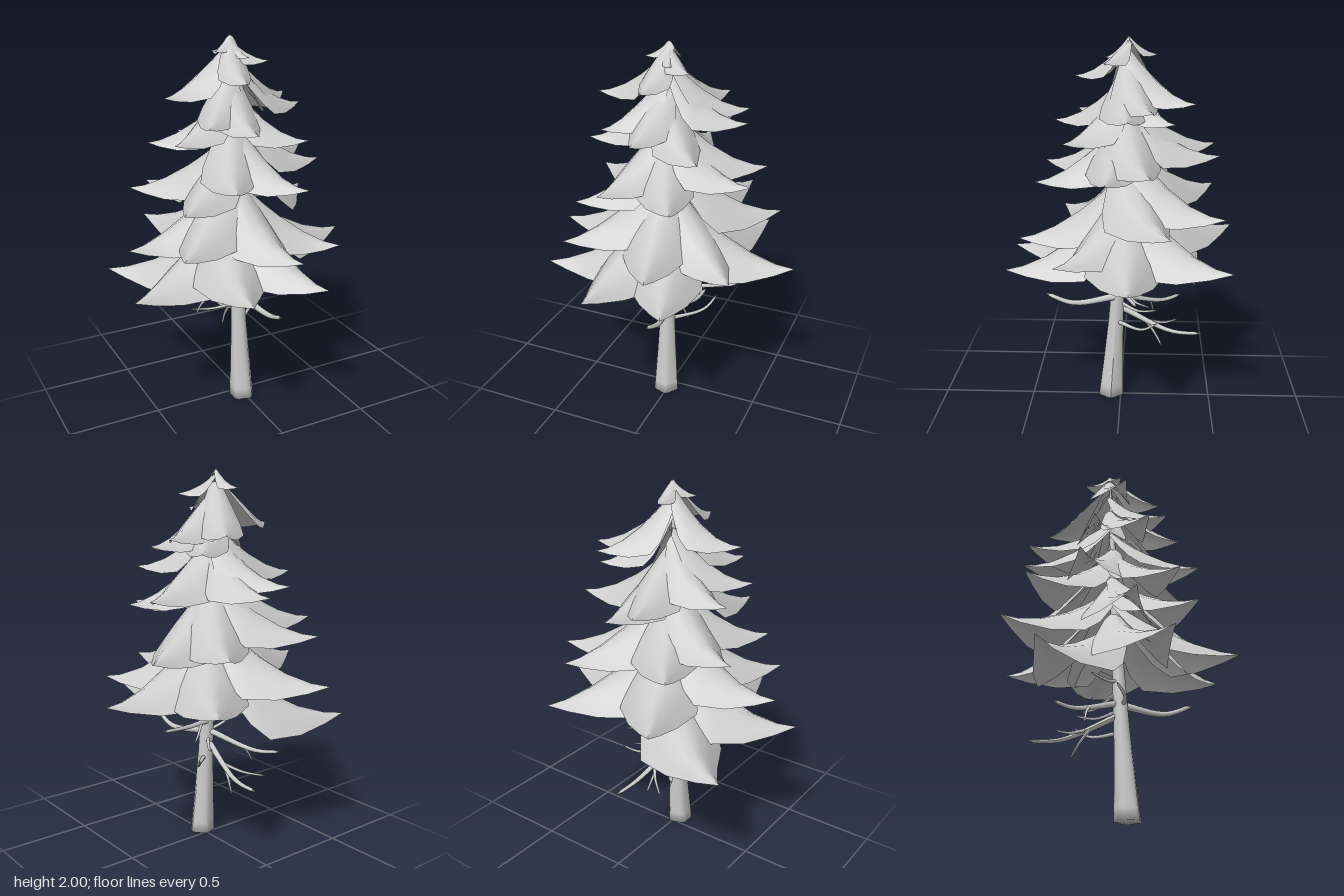
import * as THREE from 'three';

const grey = new THREE.MeshStandardMaterial({ color: 0xcccccc, side: THREE.DoubleSide });
grey.name = 'pale grey';

// Trunk centre line, leaning slightly back
const axisAt = (y) => new THREE.Vector3(-0.01 - 0.01 * y, y, 0.055 - 0.068 * y + 0.01 * y * y);

// Grid of points (rows of equal length) to a smooth surface
function gridMesh(name, rows) {
  const n = rows[0].length, pos = [], index = [];
  rows.forEach((row) => row.forEach((p) => pos.push(p.x, p.y, p.z)));
  for (let i = 0; i < rows.length - 1; i++) {
    for (let j = 0; j < n - 1; j++) {
      const a = i * n + j, b = a + 1, c = a + n, d = c + 1;
      index.push(a, b, c, b, d, c);
    }
  }
  const g = new THREE.BufferGeometry();
  g.setAttribute('position', new THREE.Float32BufferAttribute(pos, 3));
  g.setIndex(index);
  g.computeVertexNormals();
  const mesh = new THREE.Mesh(g, grey);
  mesh.name = name;
  return mesh;
}

// Drooping pointed bough: a curved ridge, bent sideways, with sides hanging from it
const outline = [[0, 0.1], [0.14, 0.2], [0.28, 0.28], [0.42, 0.3], [0.65, 0.185], [0.85, 0.075], [1, 0]];
function bough([x, y, z, bend = -0.05], rise) {
  const tip = new THREE.Vector3(x, y, z);
  const root = axisAt(y + rise);
  const out = new THREE.Vector3(x - root.x, 0, z - root.z);
  const length = out.length();
  out.normalize();
  const side = new THREE.Vector3(out.z, 0, -out.x);
  const rows = outline.map(([t, w]) => {
    const row = [];
    for (let s = -1; s <= 1.01; s += 1 / 3) {
      const p = root.clone().lerp(tip, t);
      p.y = y + rise * (1 - t) ** 1.8 - 0.9 * w * length * Math.abs(s) ** 1.7;
      row.push(p.addScaledVector(side, (s * w + bend * Math.sin(Math.PI * t)) * length));
    }
    return row;
  });
  return gridMesh('bough', rows);
}

// Bent limb, tapering from the given radius, from the trunk or another limb to its end
function limb(radius, ...points) {
  const curve = new THREE.CatmullRomCurve3(points.map((p) => new THREE.Vector3(...p)));
  const steps = 12, sides = 7;
  const frames = curve.computeFrenetFrames(steps);
  const rows = [];
  for (let i = 0; i <= steps; i++) {
    const r = i === steps ? 0.001 : radius * (1 - 0.5 * (i / steps));
    const row = [];
    for (let j = 0; j <= sides; j++) {
      const a = (j / sides) * Math.PI * 2;
      row.push(curve.getPointAt(i / steps)
        .addScaledVector(frames.normals[i], Math.cos(a) * r)
        .addScaledVector(frames.binormals[i], Math.sin(a) * r));
    }
    rows.push(row);
  }
  return gridMesh('bareLimb', rows);
}

// Trunk with a lobed, flared foot
function trunk() {
  const profile = [[0, 0.001], [0, 0.066], [0.06, 0.062], [0.2, 0.055], [0.45, 0.042],
    [0.8, 0.032], [1.3, 0.022], [1.97, 0.004]];
  const rows = profile.map(([y, r]) => {
    const row = [];
    for (let j = 0; j <= 20; j++) {
      const a = (j / 20) * Math.PI * 2;
      const k = r * (1 + 0.09 * Math.cos(5 * a) * Math.max(0, 1 - y * 2));
      row.push(axisAt(y).add(new THREE.Vector3(Math.cos(a) * k, 0, -Math.sin(a) * k)));
    }
    return row;
  });
  return gridMesh('trunk', rows);
}

// Bough tips (with an optional sideways bend), tier by tier, and the rise from tip to trunk
const tiers = [
  { rise: 0.36, tips: [[0.67, 0.87, -0.06, 0], [-0.67, 0.76, 0.18, -0.07], [-0.6, 0.7, -0.45, -0.08],
    [0.38, 0.88, -0.58], [0.44, 0.92, 0.32, 0.07], [0.19, 0.82, 0.6, 0], [-0.23, 0.82, 0.61, -0.09]] },
  { rise: 0.34, tips: [[-0.63, 0.97, 0.01], [-0.31, 0.93, -0.62], [-0.47, 1.0, 0.35], [0.08, 0.96, 0.54],
    [0.53, 1.1, -0.26], [0.28, 1.13, -0.54]] },
  { rise: 0.3, tips: [[-0.52, 1.22, -0.25], [-0.43, 1.2, 0.27], [-0.33, 1.17, -0.51], [0.17, 1.29, 0.43],
    [-0.22, 1.32, 0.42], [0.45, 1.34, 0.06], [0.47, 1.38, -0.16]] },
  { rise: 0.26, tips: [[0.02, 1.4, -0.52], [-0.13, 1.44, -0.5], [-0.44, 1.47, -0.17], [-0.41, 1.51, 0.12],
    [0.25, 1.5, 0.28], [-0.07, 1.57, 0.35], [-0.28, 1.6, 0.24], [0.25, 1.6, -0.28]] },
  { rise: 0.25, tips: [[0.39, 1.63, -0.05], [0.36, 1.67, -0.17], [0.18, 1.69, -0.38, 0], [-0.41, 1.72, 0, -0.1],
    [-0.07, 1.8, 0.24]] },
  { rise: 0.1, tips: [[0.13, 1.88, 0.08], [-0.06, 1.91, -0.19], [-0.14, 1.93, 0.01], [0.02, 1.9, 0.08]] },
];

export function createModel() {
  const tree = new THREE.Group();
  tree.name = 'coniferTree';
  tree.add(trunk());

  // Bare limbs below the foliage
  const bare = new THREE.Group();
  bare.name = 'bareLimbs';
  bare.add(
    limb(0.021, [0, 0.6, 0.02], [0.04, 0.575, 0.26], [0.03, 0.625, 0.41]),
    limb(0.018, [-0.02, 0.53, 0], [0.03, 0.41, -0.28], [0.04, 0.4, -0.45]),
    limb(0.01, [0, 0.48, -0.12], [0, 0.4, -0.18], [0.01, 0.31, -0.23]),
    limb(0.01, [0.01, 0.46, -0.16], [-0.06, 0.42, -0.24], [-0.15, 0.4, -0.32]),
    limb(0.018, [-0.02, 0.6, 0], [-0.15, 0.52, -0.23], [-0.24, 0.52, -0.34]),
    limb(0.009, [-0.1, 0.55, -0.15], [-0.15, 0.5, -0.17], [-0.18, 0.44, -0.18]),
    limb(0.012, [0, 0.45, 0.02], [0.15, 0.47, -0.12], [0.2, 0.53, -0.2]),
    limb(0.016, [-0.02, 0.66, 0], [0.15, 0.665, -0.04], [0.35, 0.69, -0.09]),
    limb(0.009, [0.05, 0.66, -0.02], [0.12, 0.62, -0.08], [0.2, 0.62, -0.16]),
    limb(0.013, [0.02, 0.59, 0.02], [-0.11, 0.605, 0.03], [-0.17, 0.66, -0.02]),
    limb(0.01, [-0.01, 0.56, 0], [0.06, 0.54, -0.1], [0.12, 0.57, -0.2]),
    limb(0.011, [-0.01, 0.73, 0.01], [-0.08, 0.7, -0.05], [-0.16, 0.71, -0.15]),
  );
  tree.add(bare);

  tiers.forEach(({ rise, tips }, i) => {
    const tier = new THREE.Group();
    tier.name = `foliageTier${i + 1}`;
    tips.forEach((tip) => tier.add(bough(tip, Math.min(rise, 2 - tip[1]))));
    tree.add(tier);
  });
  return tree;
}
